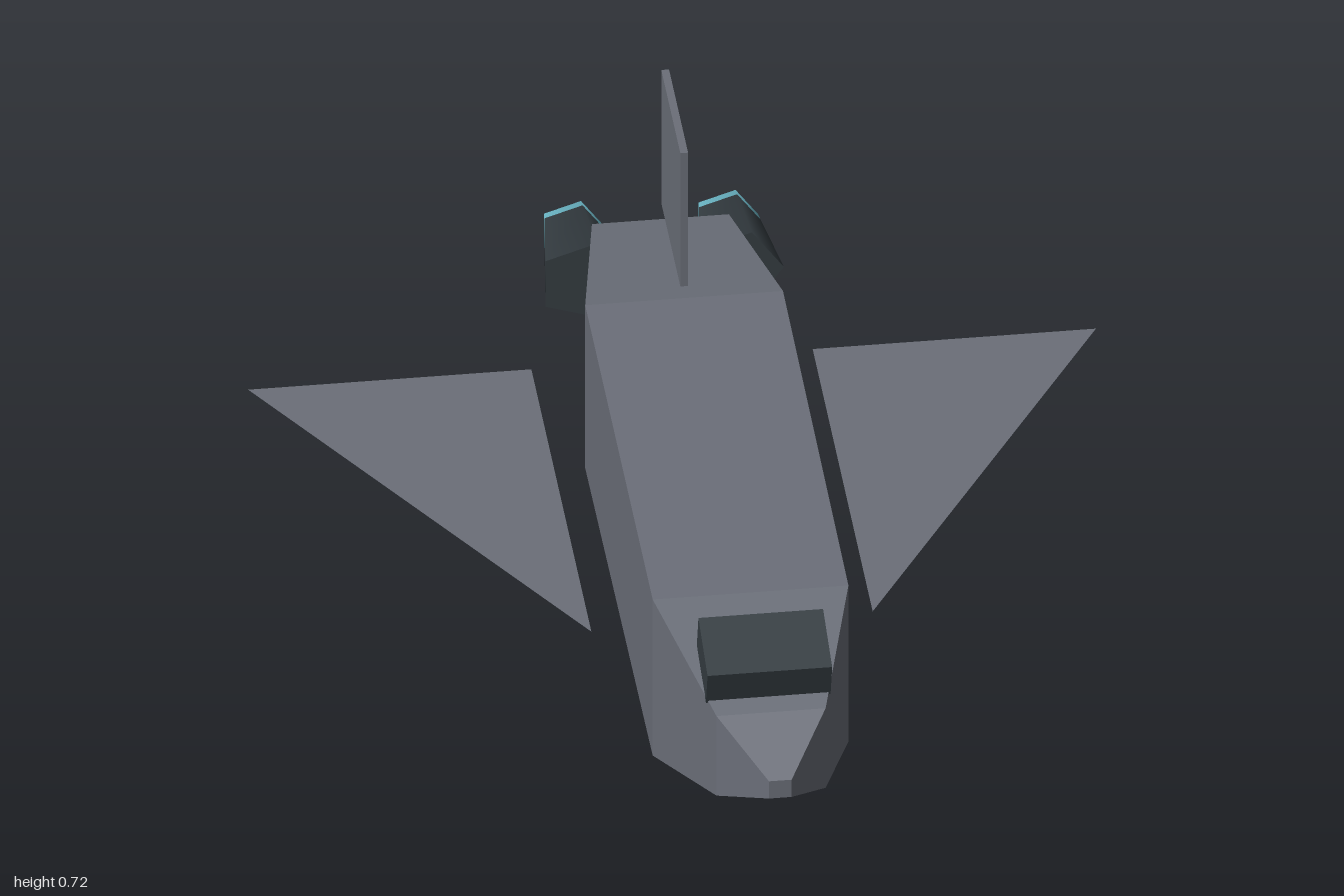
import * as THREE from 'three';

const hull = new THREE.MeshStandardMaterial({ name: 'hullGrey', color: 0x6b6f79, flatShading: true });
const wingGrey = new THREE.MeshStandardMaterial({ name: 'wingGrey', color: 0x6b6f79, side: THREE.DoubleSide });
const dark = new THREE.MeshStandardMaterial({ name: 'darkMetal', color: 0x353d42 });
const glow = new THREE.MeshStandardMaterial({ name: 'exhaustBlue', color: 0x6cb8c8 });

// Rectangular sections [z, halfWidth, bottom, top] joined from nose to tail
function loft(sections) {
  const pos = [];
  const rings = sections.map(([z, w, b, t]) => [[-w, b, z], [w, b, z], [w, t, z], [-w, t, z]]);
  const quad = (a, b, c, d) => pos.push(...a, ...b, ...c, ...a, ...c, ...d);
  quad(...rings[0]);
  for (let i = 0; i < rings.length - 1; i++) {
    const f = rings[i], r = rings[i + 1];
    for (let k = 0; k < 4; k++) {
      const n = (k + 1) % 4;
      quad(f[k], r[k], r[n], f[n]);
    }
  }
  quad(...rings[rings.length - 1].slice().reverse());
  const geo = new THREE.BufferGeometry();
  geo.setAttribute('position', new THREE.Float32BufferAttribute(pos, 3));
  geo.computeVertexNormals();
  return geo;
}

export function createModel() {
  const group = new THREE.Group();
  group.name = 'spacecraft';
  const add = (name, geo, mat, x, y, z) => {
    const mesh = new THREE.Mesh(geo, mat);
    mesh.name = name;
    mesh.position.set(x, y, z);
    group.add(mesh);
    return mesh;
  };

  // Fuselage
  add('fuselage', loft([
    [1, 0.022, 0.2, 0.24],
    [0.86, 0.106, 0.12, 0.305],
    [0.55, 0.19, 0.012, 0.375],
    [-0.455, 0.192, 0.005, 0.384],
    [-0.813, 0.133, 0.063, 0.327],
  ]), hull, 0, 0, 0);

  // Tilted canopy, tail fin and belly hatch
  add('canopy', new THREE.BoxGeometry(0.242, 0.083, 0.144), dark, 0, 0.369, 0.761).rotation.x = 0.3;
  add('tailFin', new THREE.BoxGeometry(0.015, 0.31, 0.288), hull, 0, 0.568, -0.597);
  add('bellyHatch', new THREE.BoxGeometry(0.31, 0.009, 0.3), dark, 0, 0.0045, -0.463);

  for (const side of [1, -1]) {
    const label = side > 0 ? 'left' : 'right';

    // Paper-thin delta wing, lying flat
    const shape = new THREE.Shape([
      new THREE.Vector2(side * 0.273, -0.27),
      new THREE.Vector2(side * 0.823, 0.638),
      new THREE.Vector2(side * 0.273, 0.638),
    ]);
    add(label + 'Wing', new THREE.ShapeGeometry(shape).rotateX(-Math.PI / 2), wingGrey, 0, 0.119, 0);

    // Five-sided engine with a glowing exhaust; one corner points to +x
    const prism = (rBack, rFront, length) =>
      new THREE.CylinderGeometry(rBack, rFront, length, 5, 1, false, Math.PI / 2).rotateX(-Math.PI / 2);
    add(label + 'Engine', prism(0.066, 0.09, 0.167), dark, side * 0.15, 0.194, -0.8985);
    add(label + 'Exhaust', prism(0.064, 0.066, 0.018), glow, side * 0.15, 0.194, -0.991);
  }
  return group;
}
